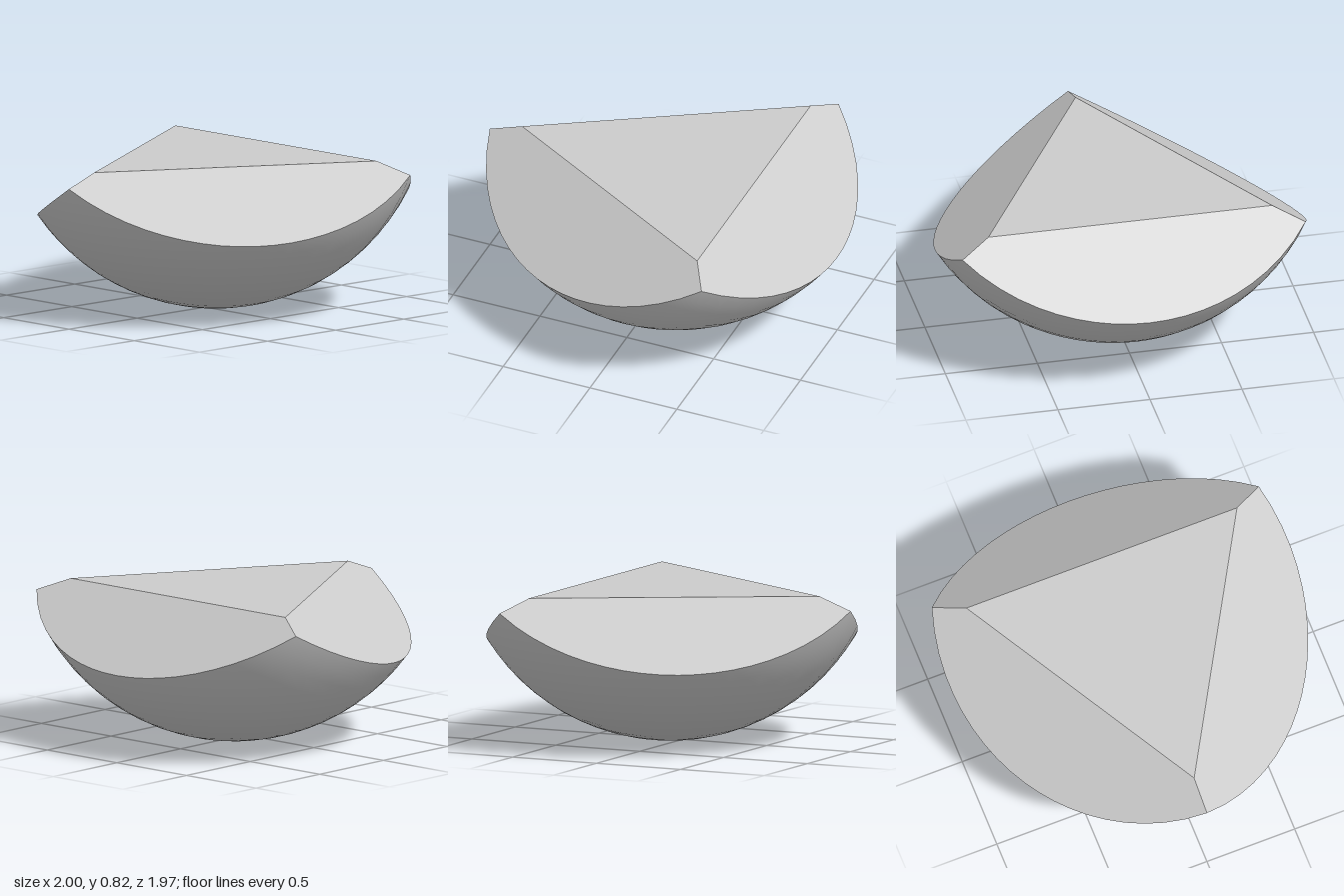
import * as THREE from 'three';
import { ParametricGeometry } from 'three/addons/geometries/ParametricGeometry.js';

const R = 1.145;        // radius of the round underside
const TOP = 0.82;       // height of the flat top
const INNER = 0.445;    // distance from the axis to each side of the top triangle
const SLOPE = 0.725;    // fall of the slanted facets
const CX = 0.075;       // axis position that centres the body on x
const THIRD = (Math.PI * 2) / 3;

// Azimuth measured from the middle of the nearest slanted facet
const local = (a) => a - Math.round(a / THIRD) * THIRD;

// Radius and height where a slanted facet meets the sphere
function rim(a) {
  const k = SLOPE * Math.cos(local(a));
  const c = TOP + SLOPE * INNER - R;
  const A = 1 + k * k, B = -2 * k * c, C = c * c - R * R;
  const r = (-B + Math.sqrt(B * B - 4 * A * C)) / (2 * A);
  return { r, y: c + R - k * r };
}

const place = (p, a, r, y) => p.set(CX + r * Math.cos(a), y, -r * Math.sin(a));

export function createModel() {
  const model = new THREE.Group();
  model.name = 'facetedBowl';
  const material = new THREE.MeshStandardMaterial({ color: 0xcccccc });
  const add = (name, geometry) => {
    const mesh = new THREE.Mesh(geometry, material);
    mesh.name = name;
    model.add(mesh);
    return mesh;
  };

  // Round underside, from the lowest point out to the rim
  const bowl = new ParametricGeometry((u, v, p) => {
    const a = u * Math.PI * 2 - THIRD / 2;
    const edge = rim(a);
    const polar = v * Math.atan2(edge.r, R - edge.y);
    place(p, a, R * Math.sin(polar), R - R * Math.cos(polar));
  }, 60, 12);
  const pos = bowl.attributes.position;
  for (let i = 0; i < pos.count; i++) {
    bowl.attributes.normal.setXYZ(i, (pos.getX(i) - CX) / R, (pos.getY(i) - R) / R, pos.getZ(i) / R);
  }
  add('roundUnderside', bowl);

  // Three flat slanted facets between the rim and the top
  for (let i = 0; i < 3; i++) {
    const facet = new ParametricGeometry((u, v, p) => {
      const a = i * THIRD + (u - 0.5) * THIRD;
      const edge = rim(a);
      const inner = INNER / Math.cos((u - 0.5) * THIRD);
      place(p, a, THREE.MathUtils.lerp(edge.r, inner, v), THREE.MathUtils.lerp(edge.y, TOP, v));
    }, 20, 1);
    add('slantedFacet' + (i + 1), facet);
  }

  // Flat triangular top
  const top = add('flatTop', new THREE.CircleGeometry(INNER * 2, 3, Math.PI / 3));
  top.rotation.x = -Math.PI / 2;
  top.position.set(CX, TOP, 0);

  return model;
}
